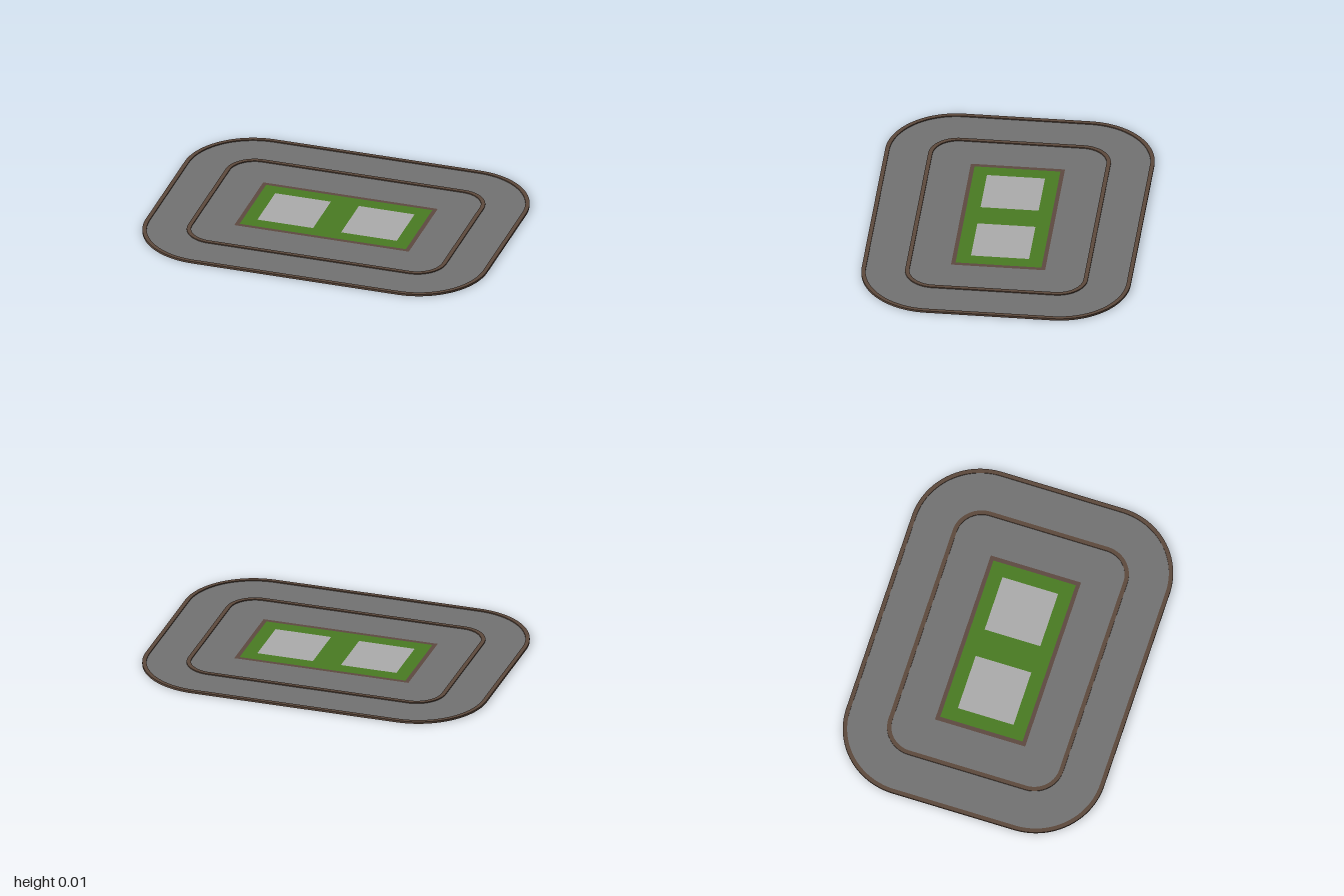
import * as THREE from 'three';

const HEIGHT = 0.012; // curb height
const LEVEL = 0.006; // level of the flat surfaces

const mat = (name, color, side = THREE.FrontSide) => {
  const m = new THREE.MeshStandardMaterial({ color, side });
  m.name = name;
  return m;
};

// Rectangle with half sizes w, d and corner radius r
function outline(w, d, r, Type = THREE.Shape) {
  const s = new Type();
  if (r === 0) {
    s.moveTo(-w, -d).lineTo(w, -d).lineTo(w, d).lineTo(-w, d).closePath();
    return s;
  }
  s.moveTo(-w + r, -d).lineTo(w - r, -d);
  s.absarc(w - r, -d + r, r, -Math.PI / 2, 0);
  s.lineTo(w, d - r);
  s.absarc(w - r, d - r, r, 0, Math.PI / 2);
  s.lineTo(-w + r, d);
  s.absarc(-w + r, d - r, r, Math.PI / 2, Math.PI);
  s.lineTo(-w, -d + r);
  s.absarc(-w + r, -d + r, r, Math.PI, Math.PI * 1.5);
  return s;
}

export function createModel() {
  const group = new THREE.Group();
  group.name = 'roadBlock';
  const asphalt = mat('asphalt grey', 0x727272, THREE.DoubleSide);
  const grass = mat('grass green', 0x497b22, THREE.DoubleSide);
  const pad = mat('pad light grey', 0xacacac, THREE.DoubleSide);
  const edging = mat('edging brown', 0x5e4941, THREE.DoubleSide);
  const curb = mat('curb brown', 0x5d493c);

  const add = (name, geometry, material, y) => {
    geometry.rotateX(-Math.PI / 2);
    const mesh = new THREE.Mesh(geometry, material);
    mesh.name = name;
    mesh.position.y = y;
    group.add(mesh);
  };

  // Flat surface, with an optional hole for the next one inside
  const flat = (name, material, outer, holes = []) => {
    outer.holes.push(...holes);
    add(name, new THREE.ShapeGeometry(outer, 24), material, LEVEL);
  };

  // Raised curb ring standing proud of the surfaces on both sides
  const ring = (name, w, d, r, t) => {
    const s = outline(w, d, r);
    s.holes.push(outline(w - t, d - t, r - t, THREE.Path));
    add(name, new THREE.ExtrudeGeometry(s, { depth: HEIGHT, bevelEnabled: false, curveSegments: 24 }), curb, 0);
  };

  ring('outerCurb', 1, 0.755, 0.4, 0.024);
  ring('innerCurb', 0.756, 0.512, 0.17, 0.024);

  // Road between the curbs, then the pavement inside
  flat('road', asphalt, outline(0.98, 0.735, 0.38), [outline(0.75, 0.506, 0.164, THREE.Path)]);
  flat('pavement', asphalt, outline(0.75, 0.506, 0.164), [outline(0.511, 0.264, 0, THREE.Path)]);

  // Lawn with brown edging and two building pads
  flat('lawnEdging', edging, outline(0.511, 0.264, 0), [outline(0.487, 0.241, 0, THREE.Path)]);
  const padOutline = (x, Type) => {
    const h = 0.163;
    const s = new Type();
    s.moveTo(x - h, -h).lineTo(x + h, -h).lineTo(x + h, h).lineTo(x - h, h).closePath();
    return s;
  };
  const centres = [-0.245, 0.245];
  flat('lawn', grass, outline(0.487, 0.241, 0), centres.map((x) => padOutline(x, THREE.Path)));
  centres.forEach((x, i) => flat(i ? 'leftPad' : 'rightPad', pad, padOutline(x, THREE.Shape)));

  return group;
}
